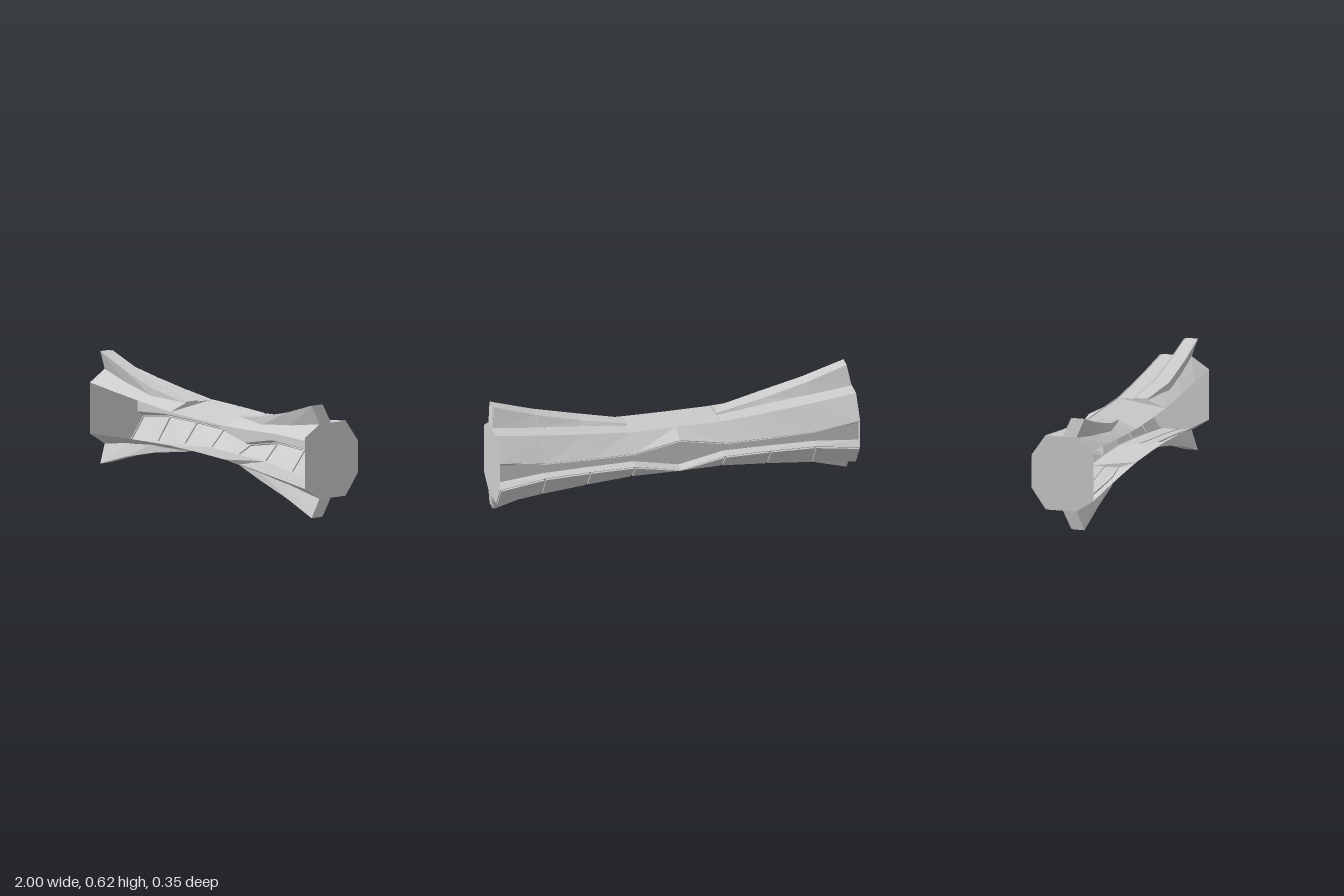
import * as THREE from 'three';

const MID = 0.31; // height of the horizontal mirror plane
const material = new THREE.MeshStandardMaterial({ color: 0xcccccc, flatShading: true, side: THREE.DoubleSide });

// Half cross-sections from the waist (x = 0) to the tip (x = 1); heights are measured from the mirror plane
const STATIONS = [
  { x: 0, top: 0.13, front: 0.09, edge: 0.085, floor: 0.072 },
  { x: 0.25, top: 0.13, front: 0.092, edge: 0.036, floor: 0.02 },
  { x: 0.5, top: 0.15, front: 0.105, edge: 0.036, floor: 0.022 },
  { x: 0.75, top: 0.175, front: 0.121, edge: 0.042, floor: 0.027 },
  { x: 1, top: 0.205, front: 0.14, edge: 0.08, floor: 0.052 },
];
const FRONT_Z = 0.178, SHOULDER_Z = 0.08, REAR_Z = -0.085, BACK_Z = -0.172, FLOOR_Z = -0.135;

// Fin sections as [z, height]: rear base, rear top, front top, front base
const FINS = [
  { x: 0.25, p: [[0.0, 0.125], [0.003, 0.137], [0.075, 0.137], [0.078, 0.125]] },
  { x: 0.5, p: [[0.015, 0.145], [0.035, 0.175], [0.118, 0.175], [0.118, 0.125]] },
  { x: 0.75, p: [[0.013, 0.17], [0.045, 0.235], [0.121, 0.235], [0.1, 0.155]] },
  { x: 1, p: [[0.01, 0.2], [0.055, 0.308], [0.122, 0.308], [0.08, 0.2]] },
];

const v = (x, y, z) => new THREE.Vector3(x, y, z);

// Split a polygon into triangles
function addFace(out, ...pts) {
  for (let i = 1; i < pts.length - 1; i++) out.push(pts[0], pts[i], pts[i + 1]);
}

// Panel pushed out of a narrow frame; corners run anticlockwise seen from outside
function addPanel(out, corners, rise = 0.008, gap = 0.005) {
  const [a, b, c, d] = corners;
  const normal = c.clone().sub(a).cross(d.clone().sub(b)).normalize();
  const inner = corners.map((p, i) => {
    const next = corners[(i + 1) % 4].clone().sub(p).normalize();
    const prev = corners[(i + 3) % 4].clone().sub(p).normalize();
    return p.clone().addScaledVector(next, gap).addScaledVector(prev, gap);
  });
  const raised = inner.map((p) => p.clone().addScaledVector(normal, rise));
  for (let i = 0; i < 4; i++) {
    const j = (i + 1) % 4;
    addFace(out, corners[i], corners[j], inner[j], inner[i]);
    addFace(out, inner[i], inner[j], raised[j], raised[i]);
  }
  addFace(out, ...raised);
}

// Mesh of one quarter, mirrored left/right and up/down by the signs
function quarterMesh(name, points, sx, sy) {
  const pos = [];
  for (let i = 0; i < points.length; i += 3) {
    const order = sx * sy > 0 ? [0, 1, 2] : [0, 2, 1];
    for (const k of order) {
      const p = points[i + k];
      pos.push(p.x * sx, MID + p.y * sy, p.z);
    }
  }
  const g = new THREE.BufferGeometry();
  g.setAttribute('position', new THREE.Float32BufferAttribute(pos, 3));
  g.computeVertexNormals();
  const mesh = new THREE.Mesh(g, material);
  mesh.name = name;
  return mesh;
}

// Outer shell, open along the front
function shellFaces() {
  const out = [];
  STATIONS.slice(1).forEach((b, i) => {
    const a = STATIONS[i];
    if (i === 0) { // plain sloping waist
      addFace(out, v(a.x, a.front, FRONT_Z), v(b.x, b.front, FRONT_Z), v(b.x, b.top, REAR_Z), v(a.x, a.top, REAR_Z));
      // step from the waist up to the flared section
      addFace(out, v(b.x, b.front, FRONT_Z), v(b.x, b.top, SHOULDER_Z), v(b.x, b.top, REAR_Z));
      return;
    }
    addFace(out, v(a.x, a.front, FRONT_Z), v(b.x, b.front, FRONT_Z), v(b.x, b.top, SHOULDER_Z), v(a.x, a.top, SHOULDER_Z));
    addFace(out, v(a.x, a.top, SHOULDER_Z), v(b.x, b.top, SHOULDER_Z), v(b.x, b.top, REAR_Z), v(a.x, a.top, REAR_Z));
  });
  return out;
}

// Raised panels along the rear bevel
function panelFaces() {
  const out = [];
  STATIONS.slice(1).forEach((b, i) => {
    const a = STATIONS[i];
    addPanel(out, [v(a.x, a.top, REAR_Z), v(b.x, b.top, REAR_Z), v(b.x, b.edge, BACK_Z), v(a.x, a.edge, BACK_Z)]);
  });
  return out;
}

// Half of the recessed channel: sloping wall and floor
function channelFaces() {
  const out = [];
  STATIONS.slice(1).forEach((b, i) => {
    const a = STATIONS[i];
    addFace(out, v(a.x, a.edge, BACK_Z), v(b.x, b.edge, BACK_Z), v(b.x, b.floor, FLOOR_Z), v(a.x, a.floor, FLOOR_Z));
    addFace(out, v(a.x, a.floor, FLOOR_Z), v(b.x, b.floor, FLOOR_Z), v(b.x, 0, FLOOR_Z), v(a.x, 0, FLOOR_Z));
  });
  return out;
}

// Half of the flat end plate
function endFaces() {
  const e = STATIONS[4], out = [];
  addFace(out, v(1, 0, FRONT_Z), v(1, 0, BACK_Z), v(1, e.edge, BACK_Z), v(1, e.top, REAR_Z),
    v(1, e.top, SHOULDER_Z), v(1, e.front, FRONT_Z));
  return out;
}

// Flaring fin with panels on its rear face
function finFaces() {
  const out = [];
  const rings = FINS.map(({ x, p }) => p.map(([z, y], k) =>
    v(x === 1 && (k === 1 || k === 2) ? 0.983 : x, y, z)));
  for (let i = 0; i < rings.length - 1; i++) {
    const a = rings[i], b = rings[i + 1];
    addPanel(out, [a[1], b[1], b[0], a[0]], 0.008, 0.004);
    addFace(out, a[2], b[2], b[1], a[1]);
    addFace(out, a[3], b[3], b[2], a[2]);
  }
  addFace(out, ...rings[0]);
  addFace(out, ...[...rings[rings.length - 1]].reverse());
  return out;
}

export function createModel() {
  const model = new THREE.Group();
  model.name = 'flaredHull';
  const parts = {
    shell: shellFaces(), bevelPanels: panelFaces(), rearChannel: channelFaces(),
    endPlate: endFaces(), fin: finFaces(),
  };
  for (const sx of [1, -1]) {
    for (const sy of [1, -1]) {
      const quarter = new THREE.Group();
      quarter.name = `${sy > 0 ? 'upper' : 'lower'}${sx > 0 ? 'Left' : 'Right'}Quarter`;
      for (const [name, faces] of Object.entries(parts)) quarter.add(quarterMesh(name, faces, sx, sy));
      model.add(quarter);
    }
  }
  return model;
}
